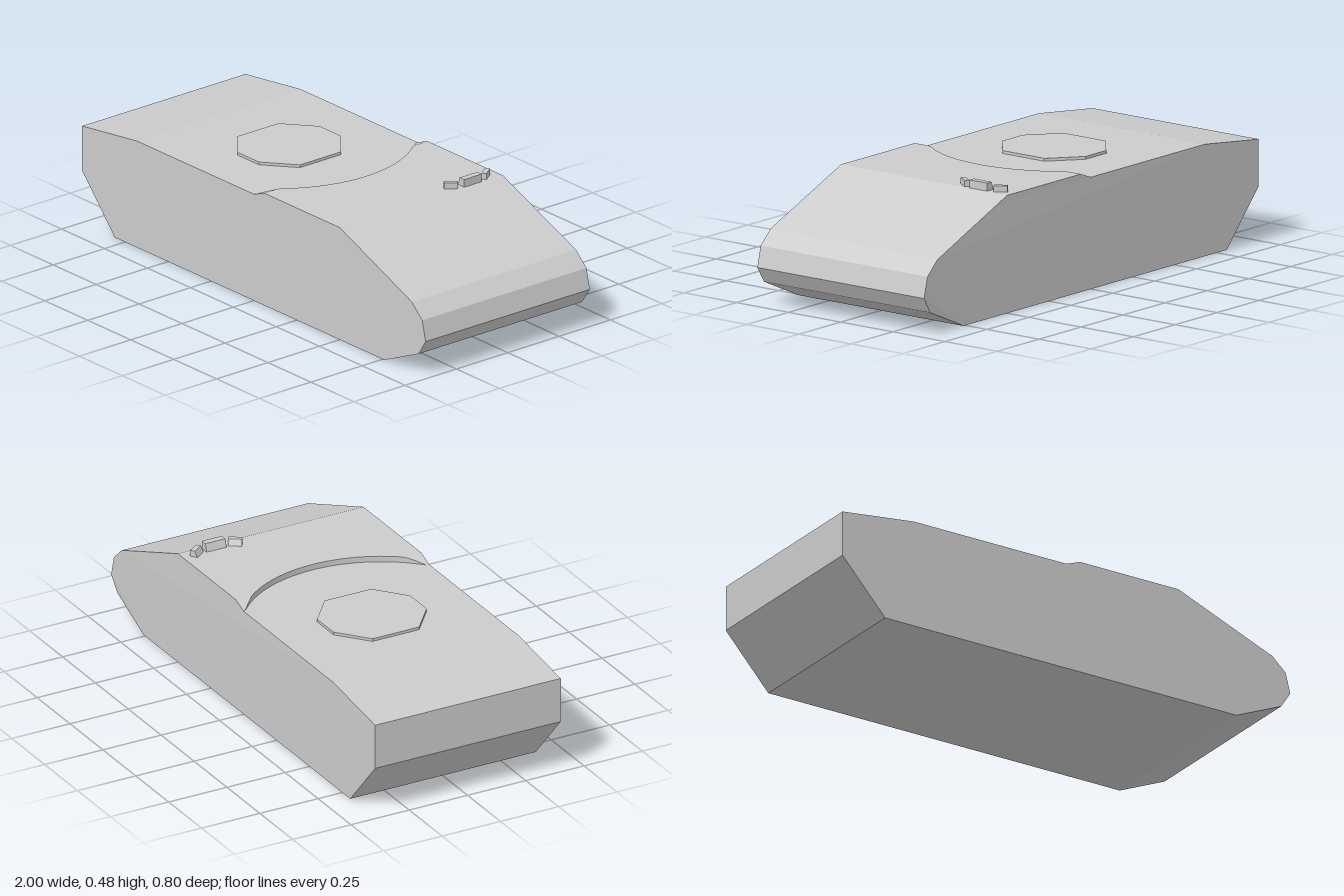
import * as THREE from 'three';

const DECK = 0.43, ROOF = 0.453, SIDE_L = 0.4, SIDE_R = -0.396;

function material() {
  return new THREE.MeshStandardMaterial({ color: 0xcccccc, flatShading: true });
}

function part(name, geometry, parent) {
  const mesh = new THREE.Mesh(geometry, material());
  mesh.name = name;
  parent.add(mesh);
  return mesh;
}

function extrude(points, depth) {
  const shape = new THREE.Shape(points.map(([x, y]) => new THREE.Vector2(x, y)));
  return new THREE.ExtrudeGeometry(shape, { depth, bevelEnabled: false });
}

// Side profile of the hull, extruded across its width
function hullGeometry() {
  const g = extrude([
    [-1, 0.21], [-0.81, 0], [0.76, 0], [0.96, 0.088], [1, 0.15], [0.98, 0.23],
    [0.92, 0.285], [0.5575, DECK], [-0.68, DECK], [-1, 0.39],
  ], SIDE_L - SIDE_R);
  g.translate(0, 0, SIDE_R);
  // The nose is very slightly wider on one side
  const p = g.attributes.position;
  for (let i = 0; i < p.count; i++) {
    if (p.getX(i) > 0.9 && p.getY(i) > 0.1 && p.getZ(i) < 0) p.setZ(i, -0.4);
  }
  g.computeVertexNormals();
  return g;
}

// Raised front deck: ramped at the sides, cut by a round turret recess behind
function frontDeckGeometry() {
  const steps = 48, rows = [], pos = [];
  for (let i = 0; i <= steps; i++) {
    const z = SIDE_R + (SIDE_L - SIDE_R) * i / steps;
    const x = Math.max(0, -0.345 + Math.sqrt(0.52 * 0.52 - z * z));
    const y = Math.min(ROOF, DECK + (ROOF - DECK) * x / 0.06);
    rows.push([[x, DECK, z], [x, y, z], [Math.max(0.06, x), ROOF, z],
      [0.5, ROOF, z], [0.5575, DECK, z]]);
  }
  const tri = (a, b, c) => pos.push(...a, ...b, ...c);
  for (let i = 0; i < steps; i++) {
    const r = rows[i], s = rows[i + 1];
    for (let j = 0; j < 4; j++) {
      tri(r[j], s[j], s[j + 1]);
      tri(r[j], s[j + 1], r[j + 1]);
    }
  }
  // Close both sides
  const a = rows[0], b = rows[steps];
  for (let j = 1; j < 4; j++) {
    tri(a[0], a[j], a[j + 1]);
    tri(b[0], b[j + 1], b[j]);
  }
  const g = new THREE.BufferGeometry();
  g.setAttribute('position', new THREE.Float32BufferAttribute(pos, 3));
  g.computeVertexNormals();
  return g;
}

// Small block with an upright front and a leaning back
function periscopeGeometry(length, width, height) {
  const w = width / 2;
  const g = extrude([[-w, 0], [w, 0], [w, height], [-w + 0.011, height]], length);
  g.translate(0, 0, -length / 2);
  return g;
}

export function createModel() {
  const model = new THREE.Group();
  model.name = 'armouredHull';

  part('hull', hullGeometry(), model);
  part('frontDeck', frontDeckGeometry(), model);

  // Eight-sided cover plate in the turret recess
  const cover = extrude([
    [0.1825, -0.1], [0.1825, 0.1], [0.0625, 0.2], [-0.0625, 0.2],
    [-0.1825, 0.1], [-0.1825, -0.1], [-0.0625, -0.2], [0.0625, -0.2],
  ], 0.011);
  cover.rotateX(-Math.PI / 2);
  part('turretCover', cover, model).position.set(-0.2725, DECK, 0);

  // Three driver's periscopes fanned around the hatch position
  const periscopes = new THREE.Group();
  periscopes.name = 'periscopes';
  periscopes.position.set(0, ROOF, -0.2535);
  model.add(periscopes);
  part('periscopeMiddle', periscopeGeometry(0.085, 0.037, 0.031), periscopes)
    .position.set(0.476, 0, 0);
  for (const side of [1, -1]) {
    const m = part(side > 0 ? 'periscopeLeft' : 'periscopeRight',
      periscopeGeometry(0.052, 0.03, 0.024), periscopes);
    m.position.set(0.463, 0, side * 0.0825);
    m.rotation.y = -side * 0.61;
  }
  return model;
}
